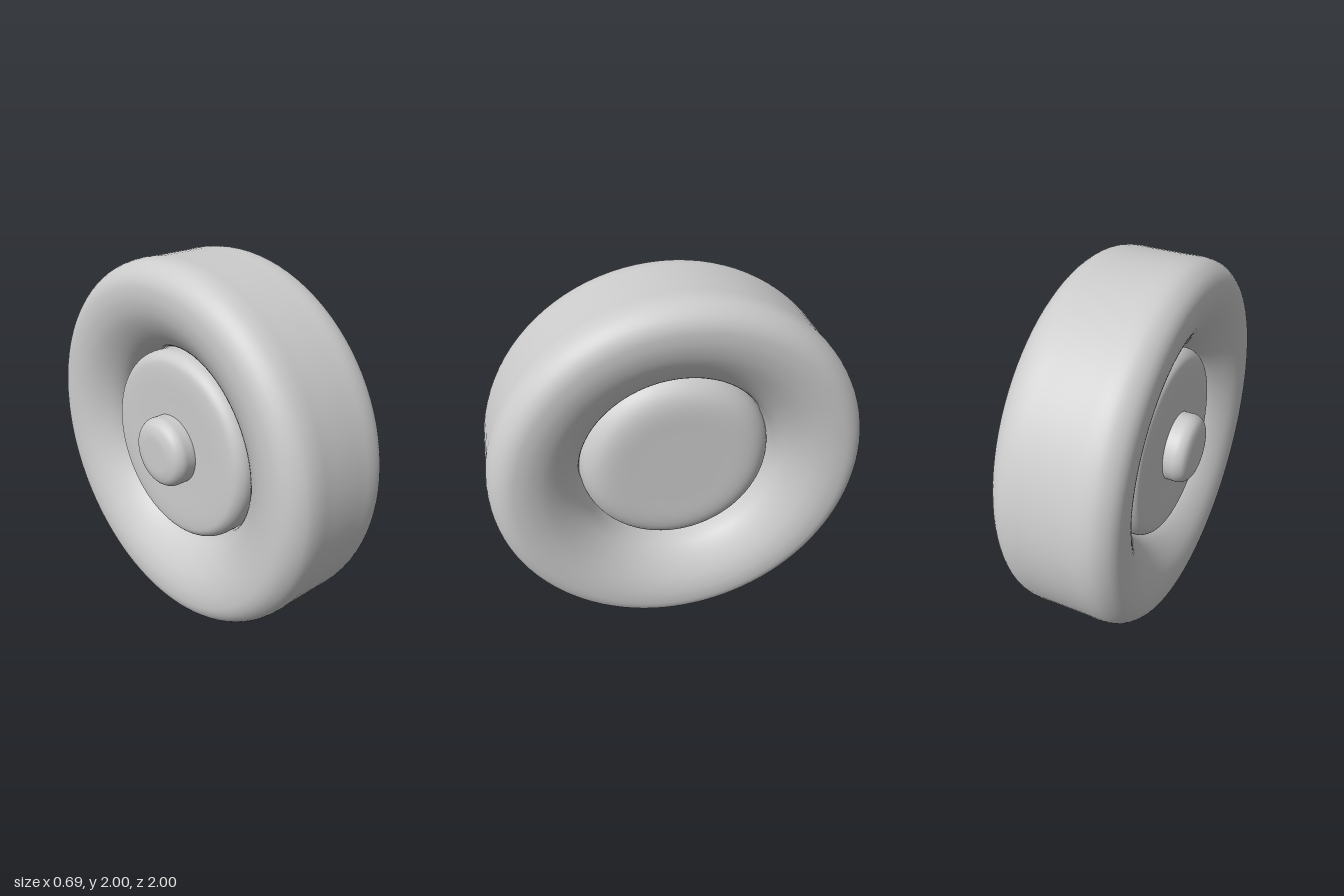
import * as THREE from 'three';

const SEGMENTS = 96;

// Spin a smoothed profile of [radius, offset along the axle] pairs around the x axis
function spin(name, pairs, divisions, material) {
  const curve = new THREE.CatmullRomCurve3(
    pairs.map(([r, x]) => new THREE.Vector3(r, x, 0)), false, 'centripetal');
  const points = curve.getPoints(divisions).map(p => new THREE.Vector2(Math.max(p.x, 0), p.y));
  const geometry = new THREE.LatheGeometry(points, SEGMENTS);
  geometry.rotateZ(-Math.PI / 2);
  const mesh = new THREE.Mesh(geometry, material);
  mesh.name = name;
  return mesh;
}

export function createModel() {
  const grey = new THREE.MeshStandardMaterial({ color: 0xcccccc });
  grey.name = 'light grey';

  const wheel = new THREE.Group();
  wheel.name = 'wheel';

  // Tyre: half profile from the middle of the tread to the bore, mirrored into a ring
  const half = [
    [1, 0.1], [1, 0.19], [0.985, 0.25], [0.945, 0.3], [0.9, 0.324], [0.85, 0.33],
    [0.79, 0.325], [0.71, 0.3], [0.615, 0.24], [0.55, 0.17], [0.522, 0.08],
  ];
  const mirrored = half.map(([r, x]) => [r, -x]).reverse();
  const tyre = spin('tyre', [[0.515, 0], ...mirrored, [1, 0], ...half, [0.515, 0]], 96, grey);
  tyre.position.x = 0.01;
  wheel.add(tyre);

  // Hub: domed on the outer side, flatter on the inner side
  wheel.add(spin('hub', [
    [0, -0.22], [0.2, -0.22], [0.44, -0.22], [0.49, -0.208], [0.52, -0.17], [0.525, -0.1],
    [0.525, 0], [0.52, 0.07], [0.5, 0.12], [0.45, 0.165], [0.38, 0.187], [0.2, 0.19], [0, 0.19],
  ], 72, grey));

  // Rounded axle boss on the inner side
  wheel.add(spin('axleBoss', [
    [0, -0.345], [0.06, -0.345], [0.12, -0.342], [0.165, -0.325], [0.188, -0.29],
    [0.19, -0.25], [0.19, -0.2],
  ], 32, grey));

  wheel.position.y = 1;
  const model = new THREE.Group();
  model.name = 'wheelModel';
  model.add(wheel);
  return model;
}
